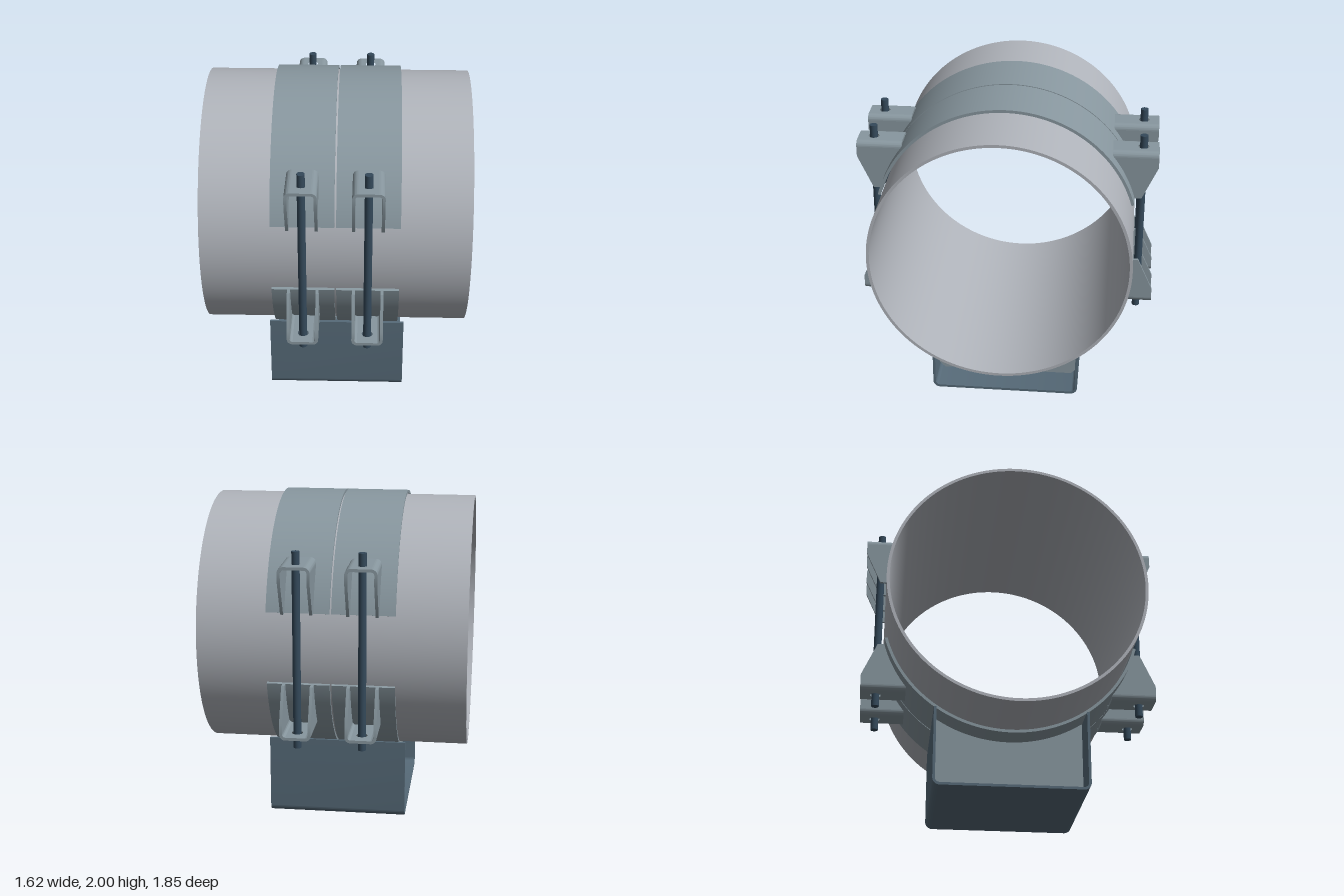
import * as THREE from 'three';
import { toCreasedNormals } from 'three/addons/utils/BufferGeometryUtils.js';

const CY = 1.182; // height of the pipe axis
const R = 0.818;  // outer radius of the clamp bands

const mat = (color) => new THREE.MeshStandardMaterial({ color });
const pipeMat = mat(0xb0b4bb);
const clampMat = mat(0x88979f);
const baseMat = mat(0x566a78);
const rodMat = mat(0x34495a);

function mesh(name, geometry, material) {
  const m = new THREE.Mesh(geometry, material);
  m.name = name;
  return m;
}

// Extrude centred on its own depth, with smooth curves and sharp edges
function extrude(shape, depth, curveSegments = 48) {
  const g = new THREE.ExtrudeGeometry(shape, { depth, bevelEnabled: false, curveSegments });
  g.translate(0, 0, -depth / 2);
  return toCreasedNormals(g, 0.5);
}

// Profile drawn in (z, y), extruded along x
const extrudeX = (shape, depth, segs) => extrude(shape, depth, segs).rotateY(-Math.PI / 2);

function pipe() {
  const s = new THREE.Shape().absarc(0, 0, 0.793, 0, Math.PI * 2, false);
  s.holes.push(new THREE.Path().absarc(0, 0, 0.775, 0, Math.PI * 2, true));
  const m = mesh('pipe', extrudeX(s, 1.615, 96), pipeMat);
  m.position.y = CY;
  return m;
}

// Upper half band; the lower one is the same turned over
function bandGeometry() {
  const a = Math.asin(0.22 / R);
  const s = new THREE.Shape();
  s.absarc(0, 0, R, a, Math.PI - a, false);
  s.absarc(0, 0, R - 0.018, Math.PI - a, a, true);
  s.closePath();
  return extrudeX(s, 0.379, 72);
}

// Bent lug: rounded top with bolt hole and two tapered cheeks
function lug() {
  const g = new THREE.Group();
  const top = 0.528, zIn = 0.645, zOut = 0.925, half = 0.095, t = 0.018, r = 0.035;
  const midZ = (zIn + zOut) / 2, len = zOut - zIn;

  const w = half - r;
  const plate = new THREE.Shape([[-w, zIn], [w, zIn], [w, zOut], [-w, zOut]]
    .map(([x, z]) => new THREE.Vector2(x, -z)));
  plate.holes.push(new THREE.Path().absarc(0, -0.83, 0.033, 0, Math.PI * 2, true));
  const plateMesh = mesh('lugTop', extrude(plate, t, 12).rotateX(-Math.PI / 2), clampMat);
  plateMesh.position.y = top - t / 2;
  g.add(plateMesh);

  const a0 = Math.asin(0.22 / R), a1 = Math.asin((top - r) / R);
  const cheek = new THREE.Shape();
  cheek.moveTo(0.83, 0.22);
  cheek.lineTo(zOut, 0.43);
  cheek.lineTo(zOut, top - r);
  cheek.lineTo(R * Math.cos(a1), top - r);
  cheek.absarc(0, 0, R - 0.004, a1, a0, true);
  cheek.closePath();
  const cheekGeo = extrudeX(cheek, t, 12);

  const bend = new THREE.Shape();
  bend.absarc(0, 0, r, 0, Math.PI / 2, false);
  bend.absarc(0, 0, r - t, Math.PI / 2, 0, true);
  bend.closePath();
  const bendGeo = extrude(bend, len, 8);

  for (const s of [-1, 1]) {
    const c = mesh('lugCheek', cheekGeo, clampMat);
    c.position.x = s * (half - t / 2);
    const b = mesh('lugBend', bendGeo, clampMat);
    b.position.set(s * w, top - r, midZ);
    if (s < 0) b.rotation.y = Math.PI;
    g.add(c, b);
  }
  g.name = 'lug';
  return g;
}

// U-shaped channel with rounded lower corners
function channel() {
  const h = 0.475, t = 0.016, r = 0.045, top = 0.5, i = h - t, q = r - t;
  const s = new THREE.Shape();
  s.moveTo(-h, top);
  s.lineTo(-h, r);
  s.absarc(-h + r, r, r, Math.PI, Math.PI * 1.5, false);
  s.absarc(h - r, r, r, Math.PI * 1.5, Math.PI * 2, false);
  s.lineTo(h, top);
  s.lineTo(i, top);
  s.absarc(h - r, r, q, 0, -Math.PI / 2, true);
  s.absarc(-h + r, r, q, Math.PI * 1.5, Math.PI, true);
  s.lineTo(-i, top);
  s.closePath();
  return mesh('baseChannel', extrudeX(s, 0.855, 10), baseMat);
}

// Cross plate cradling the pipe, with clipped lower corners
function webGeometry() {
  const h = 0.459, b = 0.016, clip = 0.035;
  const a = Math.acos((h - 0.004) / R);
  const s = new THREE.Shape();
  s.moveTo(-h + clip, b);
  s.lineTo(h - clip, b);
  s.lineTo(h, b + clip);
  s.lineTo(h, 0.5);
  s.absarc(0, CY, R - 0.003, -a, -Math.PI + a, true);
  s.lineTo(-h, 0.5);
  s.lineTo(-h, b + clip);
  s.closePath();
  return extrudeX(s, 0.02, 40);
}

export function createModel() {
  const model = new THREE.Group();
  model.name = 'pipeShoe';
  model.add(pipe(), channel());

  const band = bandGeometry();
  const web = webGeometry();
  const rod = new THREE.CylinderGeometry(0.024, 0.024, 1.205, 24);

  for (const sx of [-1, 1]) {
    const plate = mesh('webPlate', web, clampMat);
    plate.position.x = sx * 0.21;
    model.add(plate);

    for (const up of [true, false]) {
      const b = mesh(up ? 'upperBand' : 'lowerBand', band, clampMat);
      b.position.set(sx * 0.195, CY, 0);
      if (!up) b.rotation.x = Math.PI;
      model.add(b);
    }

    for (const front of [true, false]) {
      const bolt = mesh('clampRod', rod, rodMat);
      bolt.position.set(sx * 0.195, CY, front ? 0.83 : -0.83);
      model.add(bolt);

      // Half turns place each lug above or below, front or back
      for (const up of [true, false]) {
        const l = lug();
        l.position.set(sx * 0.195, CY, 0);
        if (front && !up) l.rotation.z = Math.PI;
        if (!front && up) l.rotation.y = Math.PI;
        if (!front && !up) l.rotation.x = Math.PI;
        model.add(l);
      }
    }
  }
  return model;
}
